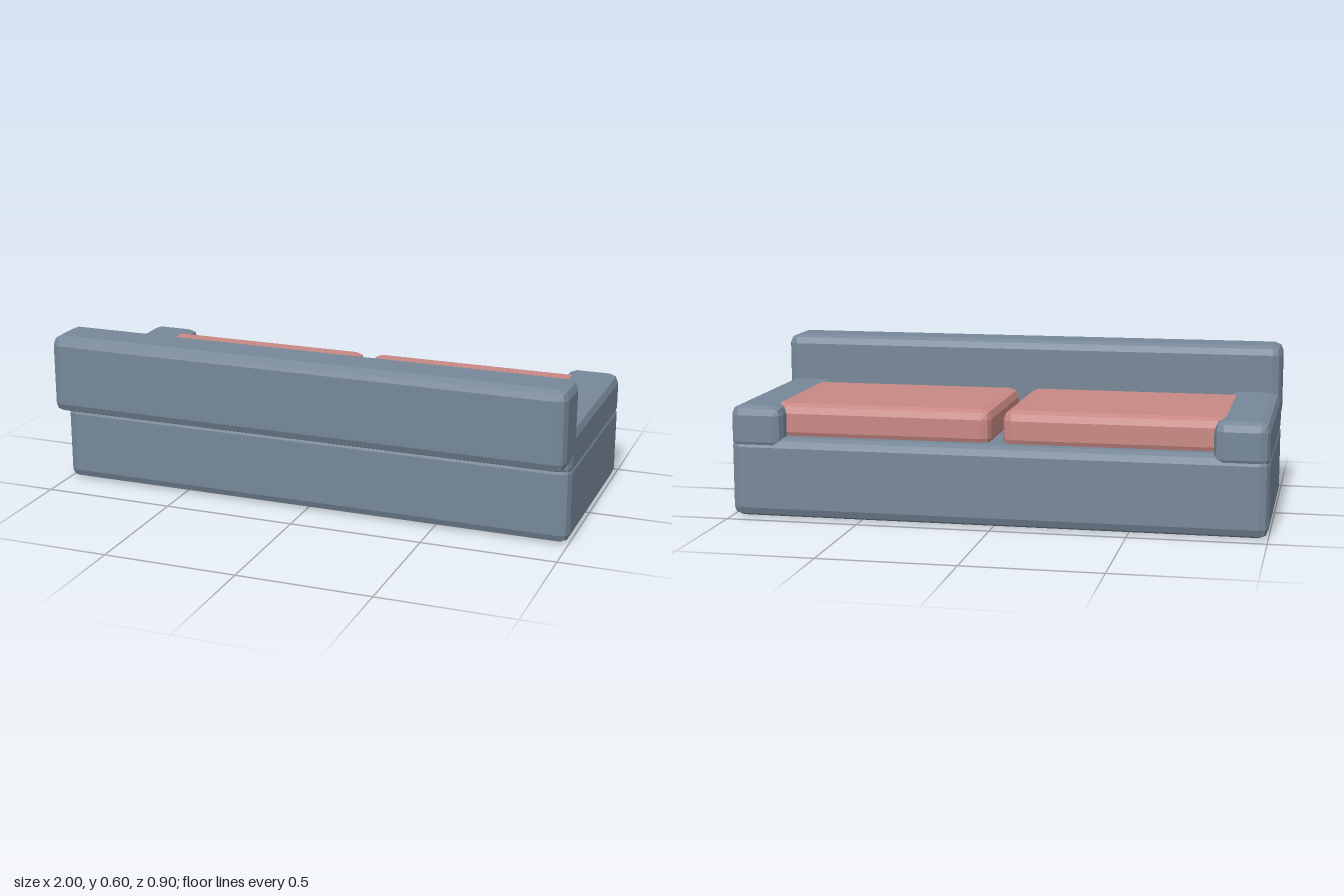
import * as THREE from 'three';
import { RoundedBoxGeometry } from 'three/addons/geometries/RoundedBoxGeometry.js';

const BEVEL = 0.035;

// Box between two corners with a two-step faceted bevel
function block(name, material, [x0, y0, z0], [x1, y1, z1]) {
  const geometry = new RoundedBoxGeometry(x1 - x0, y1 - y0, z1 - z0, 1, BEVEL);
  geometry.computeVertexNormals(); // unindexed, so this gives flat facets
  const mesh = new THREE.Mesh(geometry, material);
  mesh.name = name;
  mesh.position.set((x0 + x1) / 2, (y0 + y1) / 2, (z0 + z1) / 2);
  return mesh;
}

export function createModel() {
  const fabric = new THREE.MeshStandardMaterial({ color: 0x778899 });
  fabric.name = 'slate fabric';
  const cushionFabric = new THREE.MeshStandardMaterial({ color: 0xc98984 });
  cushionFabric.name = 'rose cushion fabric';

  const sofa = new THREE.Group();
  sofa.name = 'sofa';

  // Base and overhanging backrest
  sofa.add(block('base', fabric, [-1, 0, -0.45], [1, 0.3, 0.35]));
  sofa.add(block('backrest', fabric, [-1, 0.3, 0.25], [1, 0.6, 0.45]));

  // Armrests and seat cushions, mirrored across the middle
  for (const [side, s] of [['left', 1], ['right', -1]]) {
    const arm = block(side + 'Armrest', fabric, [0.8, 0.25, -0.45], [1, 0.42, 0.35]);
    const cushion = block(side + 'SeatCushion', cushionFabric, [0.022, 0.28, -0.38], [0.87, 0.42, 0.21]);
    for (const part of [arm, cushion]) {
      part.position.x *= s;
      sofa.add(part);
    }
  }
  return sofa;
}
